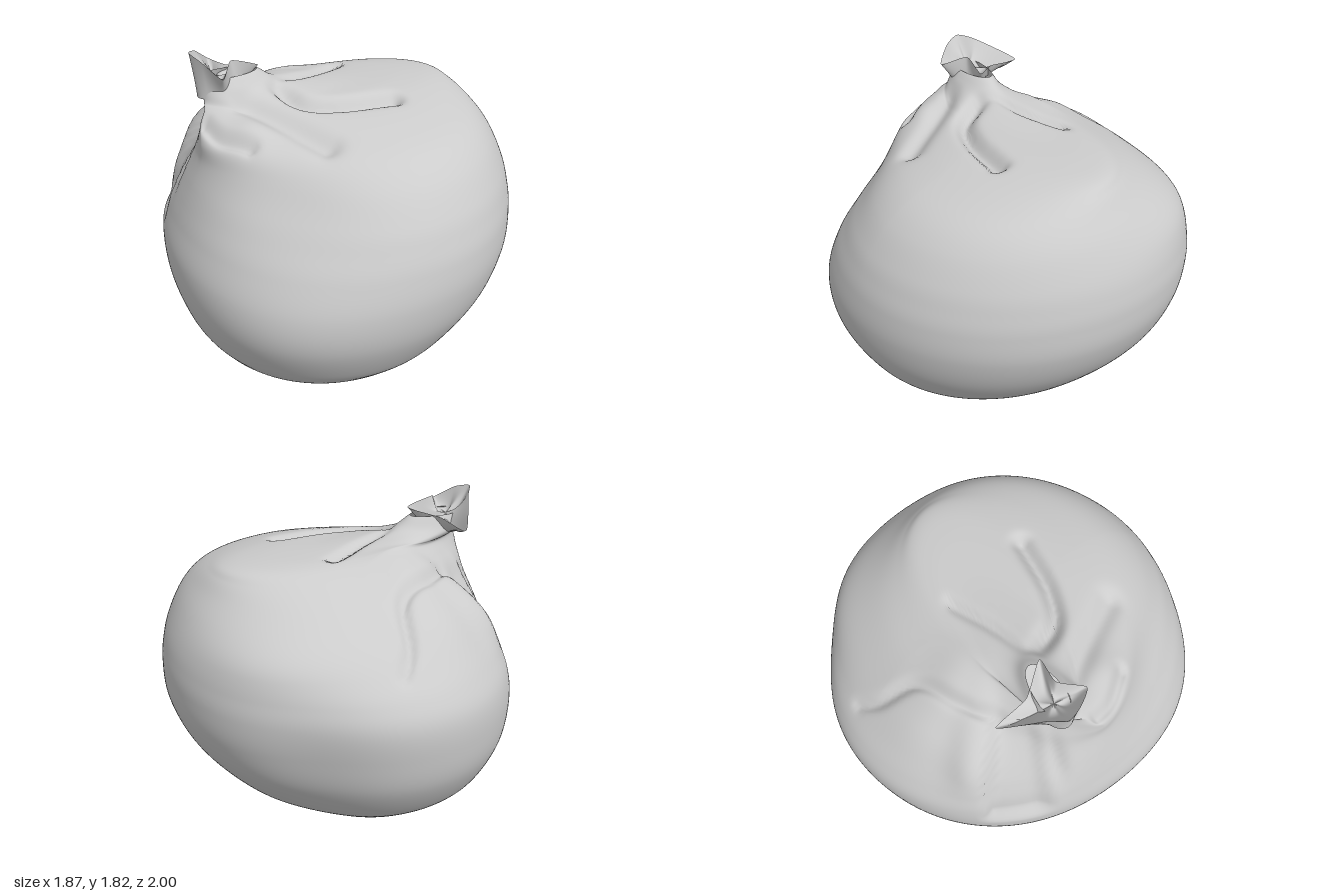
import * as THREE from 'three';

const SEG = 200;
const material = new THREE.MeshStandardMaterial({ color: 0xcccccc, side: THREE.DoubleSide });
const { smoothstep, lerp } = THREE.MathUtils;

// Skins a stack of closed rings; point(row, angle) gives each vertex
function loft(rows, seg, point) {
  const pos = [], index = [];
  for (let j = 0; j <= rows; j++) {
    for (let i = 0; i < seg; i++) pos.push(...point(j / rows, (i / seg) * Math.PI * 2).toArray());
  }
  for (let j = 0; j < rows; j++) {
    for (let i = 0; i < seg; i++) {
      const a = j * seg + i, b = j * seg + ((i + 1) % seg), c = a + seg, d = b + seg;
      index.push(a, c, b, b, c, d);
    }
  }
  const geo = new THREE.BufferGeometry();
  geo.setAttribute('position', new THREE.Float32BufferAttribute(pos, 3));
  geo.setIndex(index);
  geo.computeVertexNormals();
  return geo;
}

// Horizontal sections: y, xMin, xMax, zMin, zMax, centre x, pinch on the neck side
const SECTIONS = [
  [0.00, -0.20, -0.20, -0.02, -0.02, -0.20, 1],
  [0.01, -0.29, -0.11, -0.16, 0.16, -0.20, 1],
  [0.05, -0.42, 0.03, -0.28, 0.34, -0.20, 1],
  [0.11, -0.57, 0.17, -0.42, 0.50, -0.18, 1],
  [0.20, -0.73, 0.36, -0.58, 0.67, -0.15, 1],
  [0.29, -0.81, 0.53, -0.70, 0.78, -0.12, 1],
  [0.40, -0.87, 0.67, -0.82, 0.87, -0.10, 1],
  [0.60, -0.925, 0.83, -0.94, 0.965, -0.06, 1],
  [0.80, -0.935, 0.915, -0.985, 1.00, -0.03, 1],
  [0.97, -0.895, 0.93, -0.99, 0.985, 0.00, 1],
  [1.09, -0.86, 0.915, -0.94, 0.95, 0.01, 1.04],
  [1.20, -0.825, 0.88, -0.84, 0.90, 0.02, 1.08],
  [1.34, -0.78, 0.81, -0.68, 0.80, 0.04, 1.15],
  [1.44, -0.77, 0.74, -0.55, 0.67, 0.06, 1.25],
  [1.51, -0.75, 0.68, -0.43, 0.48, 0.05, 1.35],
  [1.555, -0.71, 0.61, -0.34, 0.30, 0.0, 1.35],
  [1.575, -0.695, 0.44, -0.29, 0.19, -0.12, 1.3],
  [1.59, -0.685, 0.08, -0.25, 0.10, -0.33, 1.2],
  [1.63, -0.68, -0.25, -0.22, 0.01, -0.50, 1],
  [1.70, -0.67, -0.38, -0.19, -0.05, -0.56, 1],
];
const sections = new THREE.CubicInterpolant(
  SECTIONS.map((_, i) => i), new Float32Array(SECTIONS.flat()), 7);

// Creases running out from the neck: depth, width, then x/z points
const CREASES = [
  [0.065, 0.045, [-0.32, -0.02], [-0.24, 0.14], [-0.08, 0.22], [0.2, 0.26]],
  [0.03, 0.03, [-0.3, -0.08], [-0.12, -0.12], [0.12, -0.22]],
  [0.04, 0.032, [-0.45, -0.34], [-0.3, -0.45], [-0.08, -0.56], [0.0, -0.76], [0.07, -0.84]],
  [0.045, 0.06, [-0.52, 0.04], [-0.42, 0.2], [-0.28, 0.45]],
  [0.04, 0.03, [-0.73, 0.03], [-0.7, 0.14], [-0.6, 0.28]],
].map(([depth, width, ...pts]) => ({
  depth, width,
  pts: new THREE.CatmullRomCurve3(pts.map(([x, z]) => new THREE.Vector3(x, 0, z))).getSpacedPoints(30),
}));

// Soft lift beside the creases: x, z, radius, height
const SWELLS = [[-0.2, -0.4, 0.16, 0.04], [-0.28, -0.68, 0.25, 0.06], [-0.58, 0.22, 0.1, 0.02]];

// Broad bulges (+) and hollows (-): azimuth, y, azimuth width, y width, radial amount
const BULGES = [
  [2.36, 0.65, 0.5, 0.3, 0.06],
  [2.36, 1.3, 0.45, 0.2, -0.05],
  [-1.0, 0.8, 0.35, 0.45, -0.05],
  [-0.75, 1.27, 0.5, 0.14, 0.06],
  [-2.33, 1.3, 0.14, 0.17, 0.08],
  [-2.88, 1.25, 0.05, 0.16, -0.04],
];

const gauss = (d, w) => Math.exp(-(d * d) / (w * w));
const turn = (d) => Math.atan2(Math.sin(d), Math.cos(d));

function bagPoint(t, a) {
  const [y, x0, x1, z0, z1, cx, pinch] = sections.evaluate(t * (SECTIONS.length - 1));
  const c = Math.cos(a), s = Math.sin(a), cz = (z0 + z1) / 2;
  const p = c < 0 ? pinch : 1;
  const v = new THREE.Vector3(
    cx + (c > 0 ? x1 - cx : cx - x0) * Math.sign(c) * Math.abs(c) ** p,
    y,
    cz + ((z1 - z0) / 2) * Math.sign(s) * Math.abs(s) ** p);

  // broad shape, and the sunken tongue of cloth hanging behind the neck
  const az = Math.atan2(v.z, v.x);
  let push = 0;
  for (const [az0, y0, wa, wy, amount] of BULGES) push += amount * gauss(turn(az - az0), wa) * gauss(y - y0, wy);
  push -= 0.05 * smoothstep(az, -2.86, -2.72) * (1 - smoothstep(az, -2.48, -2.42))
    * smoothstep(y, 0.82, 0.92) * (1 - smoothstep(y, 1.35, 1.55));
  push *= smoothstep(y, 0.05, 0.3);
  v.x += Math.cos(az) * push;
  v.z += Math.sin(az) * push;

  // gathered creases and swells on the upper cloth
  const mask = smoothstep(y, 1.0, 1.3) * (1 - smoothstep(y, 1.6, 1.66));
  if (mask > 0) {
    let dy = 0;
    for (const { depth, width, pts } of CREASES) {
      const d = Math.min(...pts.map((q) => Math.hypot(q.x - v.x, q.z - v.z)));
      dy -= depth * gauss(d, width);
    }
    for (const [x, z, r, h] of SWELLS) dy += h * gauss(Math.hypot(v.x - x, v.z - z), r);
    v.y += dy * mask;
  }

  // shallow dimple under the side
  if (y < 0.7) {
    const dent = 0.02 * gauss(Math.hypot(v.x - 0.38, v.y - 0.22, v.z - 0.02), 0.2);
    v.x -= dent * 0.5;
    v.y += dent;
  }
  return v;
}

// Flared opening above the tie: pointed corners with valleys between
const RIM = new THREE.CatmullRomCurve3([
  [-0.39, 1.73, -0.07], [-0.53, 1.775, -0.08], [-0.62, 1.73, 0.03], [-0.69, 1.80, -0.06],
  [-0.72, 1.825, -0.15], [-0.66, 1.80, -0.23], [-0.53, 1.68, -0.41], [-0.50, 1.70, -0.22],
].map((p) => new THREE.Vector3(...p)), true, 'catmullrom', 0.3);

function crownPoint(t, a) {
  const base = new THREE.Vector3(-0.59 + 0.11 * Math.cos(a), 1.6, -0.12 + 0.075 * Math.sin(a));
  const rim = RIM.getPoint(a / (Math.PI * 2));
  const flare = t ** 1.2;
  return new THREE.Vector3(lerp(base.x, rim.x, flare), lerp(base.y, rim.y, t), lerp(base.z, rim.z, flare));
}

// Crumpled cloth closing the opening
function innerPoint(t, a) {
  const rim = RIM.getPoint(a / (Math.PI * 2));
  const v = new THREE.Vector3(-0.59, 1.69, -0.13).lerp(rim, 1 - t * 0.999);
  v.y += (0.015 * Math.sin(a * 5) - 0.03) * Math.sin(t * Math.PI);
  return v;
}

export function createModel() {
  const group = new THREE.Group();
  const add = (name, geometry) => {
    const mesh = new THREE.Mesh(geometry, material);
    mesh.name = name;
    group.add(mesh);
  };
  add('sackBody', loft(200, SEG, bagPoint));
  add('gatheredNeck', loft(14, 96, crownPoint));
  add('neckFolds', loft(12, 96, innerPoint));
  return group;
}
